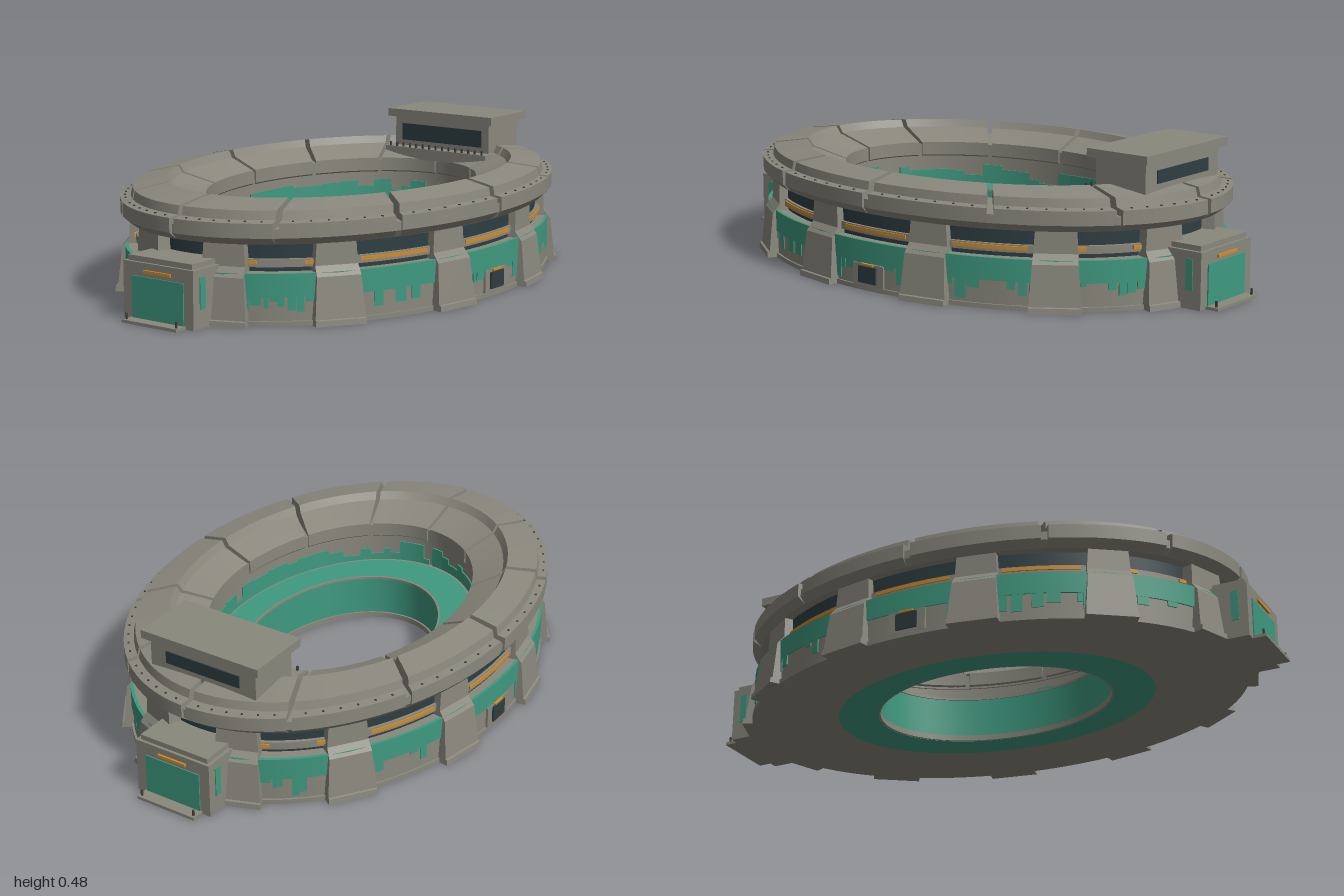
import * as THREE from 'three';
import { mergeGeometries, toCreasedNormals } from 'three/addons/utils/BufferGeometryUtils.js';

const STRETCH = 1.434; // length of the oval plan relative to its width
const DEG = Math.PI / 180;

const mat = (name, color) => {
  const m = new THREE.MeshStandardMaterial({ color });
  m.name = name;
  return m;
};

export function createModel() {
  const concrete = mat('concrete grey', 0x8a887d);
  const teal = mat('teal paint', 0x3f9a80);
  const glass = mat('dark glass', 0x2e3e42);
  const amber = mat('amber light', 0xd08c2a);
  const dark = mat('dark metal', 0x45453f);

  const model = new THREE.Group();
  model.name = 'ovalArena';

  const add = (name, geo, material, parent = model) => {
    const mesh = new THREE.Mesh(geo, material);
    mesh.name = name;
    parent.add(mesh);
    return mesh;
  };

  const box = (name, material, x0, x1, y0, y1, z0, z1, parent) => {
    const g = new THREE.BoxGeometry(x1 - x0, y1 - y0, z1 - z0);
    g.translate((x0 + x1) / 2, (y0 + y1) / 2, (z0 + z1) / 2);
    return add(name, g, material, parent);
  };

  // Sweeps a closed counter-clockwise profile [radius, y] round the oval;
  // angles in radians start at the front (+z)
  const ring = (profile, start = 0, length = Math.PI * 2) => {
    const pts = profile.map(([r, y]) => new THREE.Vector2(r, y));
    const steps = Math.max(2, Math.ceil(length / (3.75 * DEG)));
    const parts = [new THREE.LatheGeometry([...pts, pts[0]], steps, start, length)];
    if (length < 6.28) {
      [start, start + length].forEach((phi, i) => {
        const cap = new THREE.ShapeGeometry(new THREE.Shape(pts));
        if (i) cap.index.array.reverse();
        cap.rotateY(phi - Math.PI / 2);
        parts.push(cap);
      });
    }
    const g = mergeGeometries(parts);
    g.scale(1, 1, STRETCH);
    return toCreasedNormals(g, 0.35);
  };
  const rect = (r0, r1, y0, y1) => [[r0, y0], [r1, y0], [r1, y1], [r0, y1]];

  // Stands a group on the oval, its +z pointing straight out
  const place = (obj, r, phi) => {
    obj.position.set(r * Math.sin(phi), 0, r * STRETCH * Math.cos(phi));
    obj.rotation.y = Math.atan2(Math.sin(phi), Math.cos(phi) / STRETCH);
    return obj;
  };

  let seed = 7;
  const rnd = () => (seed = (seed * 16807) % 2147483647) / 2147483647;

  // Ground storey and inner bowl
  add('outerDrum', ring(rect(0.39, 0.605, 0, 0.16)), concrete);
  add('innerBowl', ring(rect(0.29, 0.39, 0, 0.16)), teal);
  add('bowlBottomRim', ring(rect(0.285, 0.295, 0.001, 0.02)), concrete);
  add('bowlTopRim', ring(rect(0.287, 0.293, 0.155, 0.163)), concrete);
  add('plinth', ring(rect(0.58, 0.611, 0, 0.015)), concrete);
  add('paintBand', ring(rect(0.6, 0.609, 0.09, 0.162)), teal);

  // Upper storey with recessed glazing
  add('upperCore', ring(rect(0.4, 0.565, 0.159, 0.26)), concrete);
  add('glazing', ring(rect(0.56, 0.57, 0.16, 0.255)), glass);
  add('windowSill', ring(rect(0.56, 0.58, 0.175, 0.2)), concrete);

  // Worn paint running down the outer wall
  for (let bay = 0; bay < 12; bay++) {
    for (let a = -11; a < 10;) {
      const w = 1 + rnd() * 2.2;
      if (rnd() < 0.62) {
        const low = 0.025 + rnd() * 0.055;
        add('paintDrip', ring(rect(0.6, 0.608, low, 0.092), (bay * 30 + a) * DEG, w * DEG), teal);
      }
      a += w + rnd() * 0.8;
    }
  }
  // Worn paint on the wall above the bowl
  for (let a = 0; a < 358;) {
    const w = 3 + rnd() * 6;
    const high = 0.175 + rnd() * 0.06;
    add('innerPaint', ring(rect(0.396, 0.402, 0.159, high), a * DEG, w * DEG), teal);
    a += w;
  }

  // Amber light strips under the windows
  for (let bay = 0; bay < 12; bay++) {
    const endsOnly = [1, 5, 7, 11].includes(bay);
    const spans = endsOnly ? [[-9, -6.5], [6.5, 9]] : [[-9, 9]];
    spans.forEach(([a, b]) =>
      add('lightStrip', ring(rect(0.575, 0.584, 0.184, 0.196), (bay * 30 + a) * DEG, (b - a) * DEG), amber));
  }

  // Tapering buttresses
  const outline = [[-0.06, 0], [0.036, 0], [0.034, 0.018], [0.027, 0.02], [0.012, 0.15],
    [-0.012, 0.18], [-0.014, 0.255], [-0.06, 0.255]];
  const width = 0.165;
  const buttress = new THREE.ExtrudeGeometry(
    new THREE.Shape(outline.map(([d, y]) => new THREE.Vector2(d, y))),
    { depth: width, bevelEnabled: false });
  buttress.translate(0, 0, -width / 2);
  buttress.rotateY(-Math.PI / 2);
  const bp = buttress.attributes.position;
  for (let i = 0; i < bp.count; i++) bp.setX(i, bp.getX(i) * (1 - 0.9 * bp.getY(i)));
  buttress.computeVertexNormals();
  for (let k = 0; k < 12; k++) {
    place(add('buttress', buttress, concrete), 0.605, (15 + 30 * k) * DEG);
  }

  // Roof: a continuous ring beam carrying twelve separated panels
  add('roofBeam', ring([[0.395, 0.25], [0.598, 0.25], [0.612, 0.272], [0.612, 0.3], [0.395, 0.3]]), concrete);
  const panel = [[0.39, 0.262], [0.4, 0.252], [0.6, 0.252], [0.62, 0.274], [0.62, 0.32], [0.592, 0.324],
    [0.587, 0.352], [0.495, 0.37], [0.482, 0.345], [0.468, 0.34], [0.39, 0.308]];
  for (let k = 0; k < 12; k++) {
    add('roofPanel', ring(panel, (30 * k + 0.8) * DEG, 28.4 * DEG), concrete);
    // bolts along the outer ledge
    for (let j = 0; j < 6; j++) {
      const bolt = new THREE.Group();
      bolt.name = 'roofBolt';
      box('bolt', dark, -0.003, 0.003, 0.319, 0.325, -0.003, 0.003, bolt);
      model.add(place(bolt, 0.607, (30 * k + 4 + j * 4.4) * DEG));
    }
  }

  // Gatehouses at both ends
  for (const turn of [0, Math.PI]) {
    const gate = new THREE.Group();
    gate.name = turn ? 'backGate' : 'frontGate';
    gate.rotation.y = turn;
    model.add(gate);
    box('gateBlock', concrete, -0.14, 0.14, 0, 0.185, 0.8, 0.955, gate);
    box('gateCap', concrete, -0.128, 0.128, 0.185, 0.202, 0.8, 0.945, gate);
    box('gateDoor', teal, -0.103, 0.103, 0.01, 0.142, 0.952, 0.959, gate);
    box('gateLight', amber, -0.053, 0.053, 0.155, 0.164, 0.952, 0.962, gate);
    box('gateStep', concrete, -0.11, 0.11, 0, 0.01, 0.95, 1.0, gate);
    for (const s of [-1, 1]) {
      box('stepPost', dark, s * 0.1 - 0.003, s * 0.1 + 0.003, 0.01, 0.03, 0.985, 0.991, gate);
      box('gateSidePaint', teal, s * 0.139 - 0.004, s * 0.139 + 0.004, 0.06, 0.16, 0.9, 0.925, gate);
    }
  }

  // Service doors on the long sides
  for (const s of [-1, 1]) {
    const door = new THREE.Group();
    door.name = 'sideDoor';
    box('doorSurround', concrete, -0.065, 0.065, 0.015, 0.088, -0.01, 0.006, door);
    box('doorLeaf', glass, -0.037, 0.037, 0.025, 0.08, 0, 0.012, door);
    box('doorLight', amber, -0.025, 0.025, 0.083, 0.089, 0, 0.012, door);
    model.add(place(door, 0.605, s * 90 * DEG));
  }

  // Viewing box on the back of the roof
  const booth = new THREE.Group();
  booth.name = 'viewingBox';
  model.add(booth);
  box('boothBody', concrete, -0.2, 0.2, 0.3, 0.452, -0.785, -0.595, booth);
  box('boothRoof', concrete, -0.222, 0.222, 0.45, 0.478, -0.805, -0.575, booth);
  box('boothBalcony', concrete, -0.215, 0.215, 0.305, 0.345, -0.62, -0.55, booth);
  box('boothWindow', glass, -0.17, 0.17, 0.365, 0.425, -0.599, -0.591, booth);
  box('boothRearWindow', glass, -0.14, 0.14, 0.378, 0.42, -0.789, -0.781, booth);
  for (let i = 0; i < 15; i++) {
    const x = -0.196 + i * 0.028;
    box('balconyPost', dark, x - 0.003, x + 0.003, 0.345, 0.36, -0.559, -0.553, booth);
  }

  return model;
}
